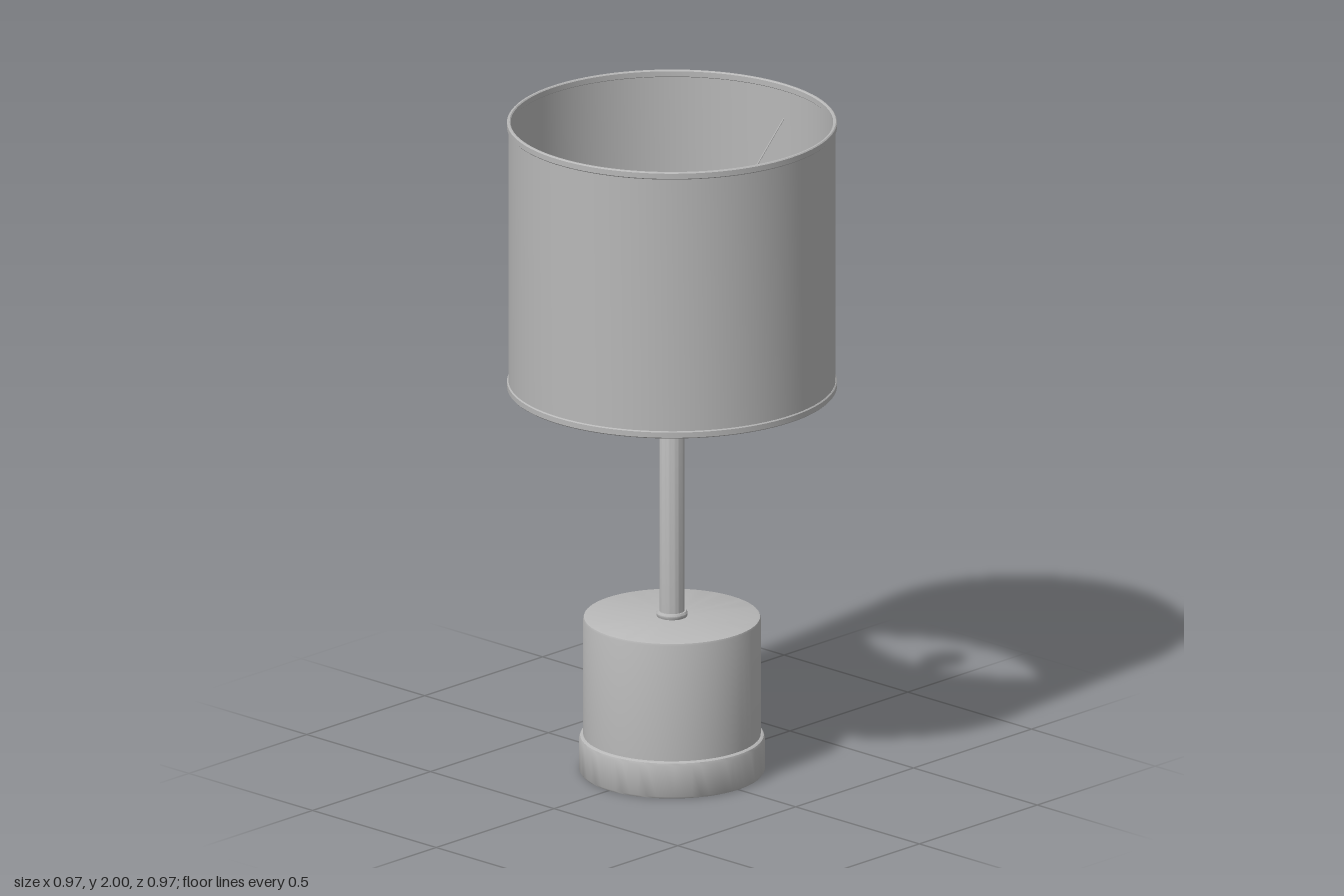
import * as THREE from 'three';
import { toCreasedNormals } from 'three/addons/utils/BufferGeometryUtils.js';

export function createModel() {
  const group = new THREE.Group();
  const grey = new THREE.MeshStandardMaterial({ color: 0xb8b8b8 });
  grey.name = 'plain grey';

  const add = (name, geometry) => {
    const mesh = new THREE.Mesh(geometry, grey);
    mesh.name = name;
    group.add(mesh);
    return mesh;
  };
  // Turned part: profile of [radius, height] running up the outside
  const turned = (name, profile, segments = 64) => add(name, toCreasedNormals(
    new THREE.LatheGeometry(profile.map(([r, y]) => new THREE.Vector2(r, y)), segments), 0.6));

  // Base: wide foot ring with a softened lip, drum above it
  turned('baseFoot', [[0, 0], [0.268, 0], [0.272, 0.006], [0.272, 0.1], [0.269, 0.108], [0.262, 0.112], [0.255, 0.112]]);
  turned('baseDrum', [[0.255, 0.1], [0.26, 0.1], [0.26, 0.467], [0.258, 0.473], [0.252, 0.475], [0, 0.475]]);

  // Stem: collar, pole, then a narrower socket neck
  turned('stemCollar', [[0.036, 0.474], [0.043, 0.474], [0.046, 0.48], [0.046, 0.486], [0.042, 0.492], [0.036, 0.492]], 40);
  turned('pole', [[0, 0.47], [0.037, 0.47], [0.037, 1.297], [0.034, 1.302], [0, 1.302]], 40);
  turned('socketNeck', [[0.031, 1.295], [0.031, 1.44], [0, 1.44]], 40);
  turned('socketCollar', [[0.03, 1.43], [0.037, 1.43], [0.04, 1.436], [0.04, 1.452], [0.036, 1.458], [0, 1.458]], 40);

  // Round bulb with a small tip
  const bulb = [[0.026, 1.455], [0.03, 1.475]];
  for (let i = 0; i <= 14; i++) {
    const a = -0.95 + (i / 14) * (Math.PI / 2 + 0.8);
    bulb.push([0.06 * Math.cos(a), 1.545 + 0.06 * Math.sin(a)]);
  }
  bulb.push([0.007, 1.609], [0, 1.611]);
  turned('bulb', bulb, 40);

  // Open drum shade with a thin wall
  turned('shade', [[0.474, 1.185], [0.479, 1.185], [0.479, 1.995], [0.474, 1.995], [0.474, 1.185]], 96);

  // Rolled trim bands at both ends of the shade
  for (const [name, y0, y1] of [['bottomTrim', 1.18, 1.202], ['topTrim', 1.978, 2]]) {
    turned(name, [
      [0.472, y0 + 0.003], [0.475, y0], [0.48, y0], [0.483, y0 + 0.003],
      [0.483, y1 - 0.003], [0.48, y1], [0.475, y1], [0.472, y1 - 0.003], [0.472, y0 + 0.003],
    ], 96);
  }

  // Three thin wire arms rising from the socket to the shade wall
  const up = new THREE.Vector3(0, 1, 0);
  for (let i = 0; i < 3; i++) {
    const a = (i * Math.PI * 2) / 3;
    const at = (r, y) => new THREE.Vector3(r * Math.cos(a), y, r * Math.sin(a));
    const from = at(0.034, 1.444), to = at(0.475, 1.895);
    const arm = add('shadeArm', new THREE.CylinderGeometry(0.002, 0.002, from.distanceTo(to), 8));
    arm.position.copy(from).lerp(to, 0.5);
    arm.quaternion.setFromUnitVectors(up, to.clone().sub(from).normalize());
  }

  return group;
}
